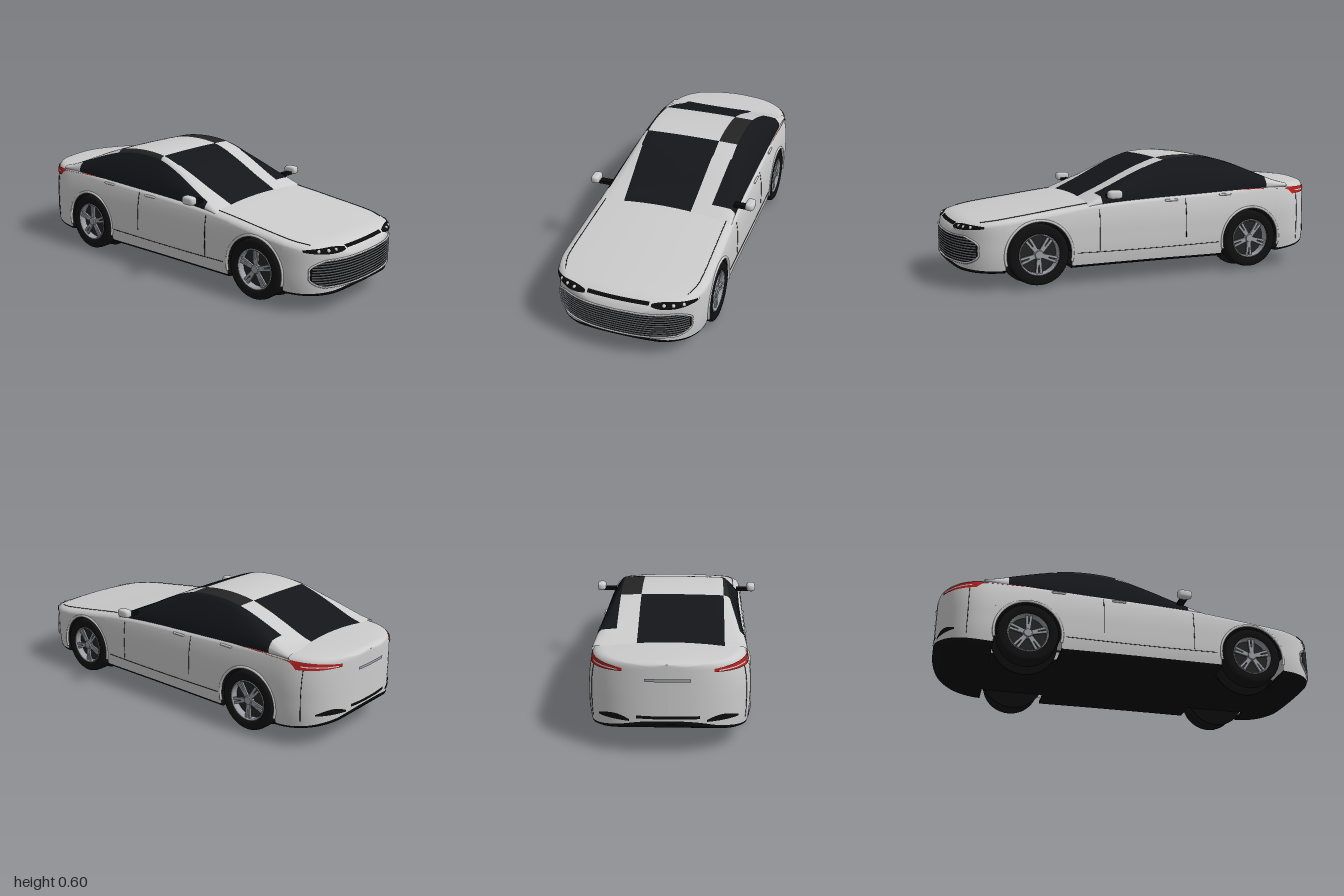
import * as THREE from 'three';

const mat = (color, side = THREE.FrontSide, o = {}) => new THREE.MeshStandardMaterial({ color, side, ...o });
const PAINT = mat(0xcccccc), PAINT2 = mat(0xcccccc, THREE.DoubleSide);
const BLACK = mat(0x0b0b0b, THREE.DoubleSide), GLASS = mat(0x14161a, THREE.DoubleSide);
const TRIM = mat(0x252424, THREE.DoubleSide), RED = mat(0xb02020, THREE.DoubleSide);
const RUBBER = mat(0x101010), ALLOY = mat(0x9a9da3, THREE.DoubleSide);

// Smooth height curve through a few [x, y] points
const curve = (p) => (x) => {
  let i = 0;
  while (i < p.length - 2 && x > p[i + 1][0]) i++;
  const slope = (k) => {
    const a = p[Math.max(k - 1, 0)], b = p[Math.min(k + 1, p.length - 1)];
    return (b[1] - a[1]) / (b[0] - a[0]);
  };
  const [x0, y0] = p[i], [x1, y1] = p[i + 1], d = x1 - x0;
  const t = Math.min(Math.max((x - x0) / d, 0), 1), t2 = t * t, t3 = t2 * t;
  return y0 * (2 * t3 - 3 * t2 + 1) + y1 * (3 * t2 - 2 * t3) + slope(i) * d * (t3 - 2 * t2 + t) + slope(i + 1) * d * (t3 - t2);
};
const deck = curve([[-1, .438], [-.97, .45], [-.73, .457], [-.3, .437], [.3, .41], [.6, .375], [.85, .343], [.93, .328], [.975, .3], [1, .255]]);
const sill = curve([[-1, .18], [-.96, .145], [-.85, .115], [-.7, .1], [0, .1], [.8, .1], [.95, .11], [1, .135]]);
const roof = curve([[-.78, .45], [-.72, .467], [-.6, .517], [-.5, .557], [-.4, .588], [-.3, .602], [-.2, .604], [-.1, .593], [0, .56], [.1, .515], [.2, .465], [.3, .419], [.35, .395]]);

// Body half width: rounded plan, gently barrelled sides, rounded shoulder, slight crown
const END = .996, AXLES = [-.555, .6], HUB = .165, ARCH = .165;
const plan = (x) => {
  const t = Math.min(Math.max((Math.abs(x) - .72) / (END - .72), 0), 1);
  return .373 * (1 - t ** 2.5) ** .4;
};
const halfWidth = (x, y) => {
  const top = deck(x), q = Math.min(Math.max((y - top + .035) / .025, 0), 1);
  const f = 1 - 2.5 * Math.max(0, y - .27) ** 2 - 2.5 * Math.max(0, .2 - y) ** 2;
  const crown = y > top - .01 ? Math.sqrt(Math.max(0, (top - y) / .01)) : 1;
  return plan(x) * f * (1 - .12 * (1 - Math.sqrt(1 - q * q))) * crown;
};
// Where the nose (s = 1) or tail (s = -1) surface lies at a given z and y
const endX = (s, z, y) => {
  let lo = .4, hi = END;
  for (let i = 0; i < 24; i++) {
    const m = (lo + hi) / 2;
    if (y < deck(s * m) && halfWidth(s * m, y) >= Math.abs(z)) lo = m; else hi = m;
  }
  return s * lo;
};

// Geometry from rows of points; an optional classifier splits it into several pieces
function loft(rows, classify = () => 0, pieces = 1) {
  const n = rows[0].length, g = new THREE.BufferGeometry(), all = [], split = Array.from({ length: pieces }, () => []);
  g.setAttribute('position', new THREE.Float32BufferAttribute(rows.flat(2), 3));
  for (let i = 0; i < rows.length - 1; i++) for (let j = 0; j < n - 1; j++) {
    const a = i * n + j, b = a + n, f = [a, b, b + 1, a, b + 1, a + 1];
    all.push(...f);
    split[classify(i, j)].push(...f);
  }
  g.setIndex(all);
  g.computeVertexNormals();
  return split.map((ix) => g.clone().setIndex(ix));
}
const mirrorSection = (half) => [...half, ...half.slice(0, -1).reverse().map(([x, y, z]) => [x, y, -z])];

export function createModel() {
  const car = new THREE.Group();
  car.name = 'car';
  const add = (name, geo, m, parent = car) => {
    const mesh = new THREE.Mesh(geo, m);
    mesh.name = name;
    parent.add(mesh);
    return mesh;
  };
  const tube = (name, pts, r, m, closed = false) => add(name, new THREE.TubeGeometry(
    new THREE.CatmullRomCurve3(pts.map((p) => new THREE.Vector3(...p)), closed, 'centripetal'), pts.length * 3, r, 5, closed), m);

  // Stations along the body, closer together at the ends and round the arches
  const xs = [];
  for (let i = 0; i <= 50; i++) xs.push(-.72 + 1.44 * i / 50);
  for (let i = 1; i <= 20; i++) for (const s of [-1, 1]) xs.push(s * (.72 + (END - .72) * Math.sin(i * Math.PI / 40)));
  for (const c of AXLES) {
    for (let k = 0; k <= 20; k++) xs.push(c + ARCH * Math.cos(k * Math.PI / 20));
    xs.push(c - ARCH - .0005, c + ARCH + .0005);
  }
  xs.sort((a, b) => a - b);
  const archY = (x) => {
    for (const c of AXLES) {
      const d = Math.abs(x - c);
      if (d < ARCH + .0002) return HUB + Math.sqrt(Math.max(0, ARCH * ARCH - d * d));
    }
    return 0;
  };

  // Painted shell with wheel openings
  const shell = xs.map((x) => {
    const top = deck(x), low = Math.max(sill(x), archY(x)), half = [];
    for (let i = 0; i <= 12; i++) {
      const y = low + (top - .035 - low) * i / 12;
      half.push([x, y, halfWidth(x, y)]);
    }
    for (let i = 1; i <= 5; i++) {
      const y = top - .035 + .025 * Math.sin(i * Math.PI / 10);
      half.push([x, y, halfWidth(x, y)]);
    }
    const edge = halfWidth(x, top - .01001);
    for (let i = 1; i <= 5; i++) half.push([x, top - .01 * (1 - i / 5) ** 2, edge * (1 - i / 5)]);
    return mirrorSection(half);
  });
  add('bodyShell', loft(shell)[0], PAINT2);

  // Black underbody, narrowed between the wheels
  const floor = xs.map((x) => {
    const y = sill(x), w = archY(x) ? .23 : halfWidth(x, y);
    return mirrorSection([[x, y, -w], [x, y - .01, -w * .99], [x, y - .015, -w * .95], [x, y - .015, 0]]);
  });
  add('underbody', loft(floor)[0], BLACK);

  // Cabin: side glass, pillars, roof and screens share one smooth surface
  const cx = Array.from({ length: 114 }, (_, i) => -.78 + i * .01);
  const cabin = cx.map((x) => {
    const top = roof(x), base = Math.min(deck(x) - .03, top - .02), h = top - base, half = [];
    const ze = .346 - .37 * h, zc = x > 0 ? .22 + .15 * h : .25;
    for (let i = 0; i <= 5; i++) {
      const t = i / 5;
      half.push([x, base + .88 * h * t, .346 + (ze - .346) * t + .012 * Math.sin(Math.PI * t)]);
    }
    half.push([x, base + .945 * h, ze * .6 + zc * .4]);
    for (let i = 0; i <= 5; i++) half.push([x, top - .025 * h * (1 - i / 5) ** 2, zc * (1 - i / 5)]);
    return mirrorSection(half);
  });
  const parts = loft(cabin, (i, j) => {
    const x = cx[i] + .005, k = Math.min(j, 21 - j), mid = x > -.41 && x < -.1;
    if (k < 5) return x > -.66 && x < .27 ? 1 : 0;
    if (k < 7) return mid ? 2 : 0;
    return mid ? 0 : 1;
  }, 3);
  add('roofAndPillars', parts[0], PAINT2);
  add('windows', parts[1], GLASS);
  add('roofRails', parts[2], TRIM);

  // Patch lying on the nose or tail: f(u, v) gives [z, y]
  const patch = (name, s, f, m, out = .003, nu = 24, nv = 6) => add(name, loft(Array.from({ length: nu + 1 }, (_, i) =>
    Array.from({ length: nv + 1 }, (_, j) => {
      const [z, y] = f(i / nu, j / nv);
      return [endX(s, z, y) + s * out, y, z * (1 + out * 2)];
    })))[0], m);

  // Grille with bright slats and a surround
  const grilleZ = (y) => .328 - .055 * Math.max(0, (y - .238) / .027) - .05 * Math.max(0, (.16 - y) / .025);
  patch('grille', 1, (u, v) => { const y = .136 + .127 * v; return [grilleZ(y) * (2 * u - 1), y]; }, BLACK, .003, 40, 12);
  const nosePath = (y, w) => Array.from({ length: 25 }, (_, i) => {
    const z = w * Math.sin((i / 12 - 1) * Math.PI / 2);
    return [endX(1, z, y) + .004, y, z * 1.008];
  });
  for (let k = 0; k < 9; k++) {
    const y = .148 + k * .0128;
    tube('grilleSlat', nosePath(y, grilleZ(y) - .008), .0032, ALLOY);
  }
  const sides = (s) => [.15, .175, .2, .225, .25].map((y) => [endX(1, grilleZ(y), y) + .004, y, s * grilleZ(y) * 1.008]);
  tube('grilleSurround', [...nosePath(.264, .27), ...sides(1).reverse(), ...nosePath(.135, .272).reverse(), ...sides(-1)], .005, PAINT, true);
  patch('hoodSlot', 1, (u, v) => [.15 * (2 * u - 1), .303 + .012 * v], BLACK, .004);

  for (const s of [-1, 1]) {
    // Headlamps: bright housing, dark lens, two lamps
    const lampShape = (grow) => (u, v) => {
      const bulge = Math.sqrt(Math.sin(Math.PI * (.04 + .92 * u)));
      return [s * (.16 - grow + (.185 + 2 * grow) * u), .306 + .004 * u + (v - .5) * (.026 + 2 * grow) * bulge];
    };
    patch('headlampHousing', 1, lampShape(.006), PAINT2, .003);
    patch('headlampLens', 1, lampShape(0), BLACK, .006);
    for (const z of [.22, .26, .3]) {
      const lamp = add('headlampBulb', new THREE.SphereGeometry(.0095, 12, 8), PAINT);
      lamp.position.set(endX(1, z, .308) + .003, .308, s * z);
    }
    // Tail lamps with a pale divider
    patch('tailLamp', -1, (u, v) => [s * (.2 + .15 * u), .408 + (v - .5) * (.014 + .024 * u)], RED, .004);
    patch('tailLampStrip', -1, (u, v) => [s * (.22 + .12 * u), .406 + (v - .5) * .005], PAINT2, .006, 12, 1);
    patch('rearVent', -1, (u, v) => [s * (.17 + .14 * u), .17 + .028 * v * Math.sin(Math.PI * (.1 + .8 * u))], BLACK, .003);

    // Panel gaps, drawn on the flank and the hood
    const gap = (pts) => tube('panelGap', pts.map(([x, y]) => [x, y, s * (halfWidth(x, y) + .0003)]), .0016, BLACK);
    for (const [x, y0, y1] of [[-.18, .2, .4], [.29, .165, .37], [-.85, .14, .41]])
      gap([0, .25, .5, .75, 1].map((t) => [x, y0 + (y1 - y0) * t]));
    gap([[-.37, .16], [-.1, .157], [.2, .157], [.41, .16]]);
    tube('hoodGap', [.34, .45, .6, .7, .8, .87].map((x) => [x, deck(x) - .0095, s * halfWidth(x, deck(x) - .0105)]), .0016, BLACK);

    // Door handles and mirrors
    for (const x of [-.41, -.1]) {
      const y = deck(x) - .036;
      add('doorHandle', new THREE.CapsuleGeometry(.006, .06, 4, 8).rotateZ(Math.PI / 2), PAINT).position.set(x, y, s * (halfWidth(x, y) + .002));
    }
    add('mirrorArm', new THREE.BoxGeometry(.035, .016, .07), BLACK).position.set(.23, .432, s * .37);
    const mirror = add('mirror', new THREE.SphereGeometry(1, 20, 12), PAINT);
    const mp = mirror.geometry.attributes.position;
    for (let i = 0; i < mp.count; i++) {
      const r = (c) => Math.sign(c) * Math.abs(c) ** .6;
      mp.setXYZ(i, r(mp.getX(i)) * .038, r(mp.getY(i)) * .022, r(mp.getZ(i)) * .023);
    }
    mirror.geometry.computeVertexNormals();
    mirror.position.set(.23, .446, s * .417);
  }
  patch('bootHandle', -1, (u, v) => [.1 * (2 * u - 1), .362 + .014 * v], ALLOY, .006, 12, 2);
  patch('rearBumperInsert', -1, (u, v) => [.14 * (2 * u - 1), .186 + .014 * v], BLACK, .003);

  // Wheels, arch lips and liners
  const V = (a) => a.map(([x, y]) => new THREE.Vector2(x, y));
  const tyreGeo = new THREE.LatheGeometry(V([[.098, -.045], [.138, -.047], [.148, -.04], [.151, -.025], [.151, .025], [.148, .04], [.138, .047], [.112, .046], [.1, .038], [.098, -.045]]), 48);
  const rimGeo = new THREE.LatheGeometry(V([[.094, -.04], [.092, .03], [.096, .041], [.101, .041], [.104, .035]]), 48);
  const spoke = new THREE.Shape(V([[.018, -.011], [.095, -.017], [.095, -.004], [.05, -.002], [.05, .002], [.095, .004], [.095, .017], [.018, .011]]));
  const spokeGeo = new THREE.ExtrudeGeometry(spoke, { depth: .01, bevelEnabled: false }).rotateX(-Math.PI / 2);
  for (const x of AXLES) for (const s of [-1, 1]) {
    const wheel = new THREE.Group();
    wheel.name = 'wheel';
    add('tyre', tyreGeo, RUBBER, wheel);
    add('rim', rimGeo, ALLOY, wheel);
    add('brakeDisc', new THREE.CylinderGeometry(.094, .094, .012, 32), TRIM, wheel);
    add('hub', new THREE.CylinderGeometry(.02, .028, .02, 20), ALLOY, wheel).position.y = .03;
    for (let k = 0; k < 5; k++) {
      const arm = add('spoke', spokeGeo, ALLOY, wheel);
      arm.position.y = .024;
      arm.rotation.y = k * Math.PI * .4 + .3;
    }
    wheel.rotation.x = s * Math.PI / 2;
    wheel.position.set(x, HUB, s * .328);
    car.add(wheel);
    const lip = add('archLip', new THREE.TorusGeometry(ARCH + .003, .007, 8, 40, Math.PI + .5), PAINT);
    lip.rotation.z = -.25;
    lip.position.set(x, HUB, s * .371);
    const liner = new THREE.CylinderGeometry(ARCH, ARCH, .135, 32, 1, true, Math.PI / 2, Math.PI).rotateX(Math.PI / 2);
    add('archLiner', liner, BLACK).position.set(x, HUB, s * .2975);
    add('linerPlate', new THREE.CylinderGeometry(ARCH, ARCH, .006, 40).rotateX(Math.PI / 2), BLACK).position.set(x, HUB, s * .229);
  }
  return car;
}
